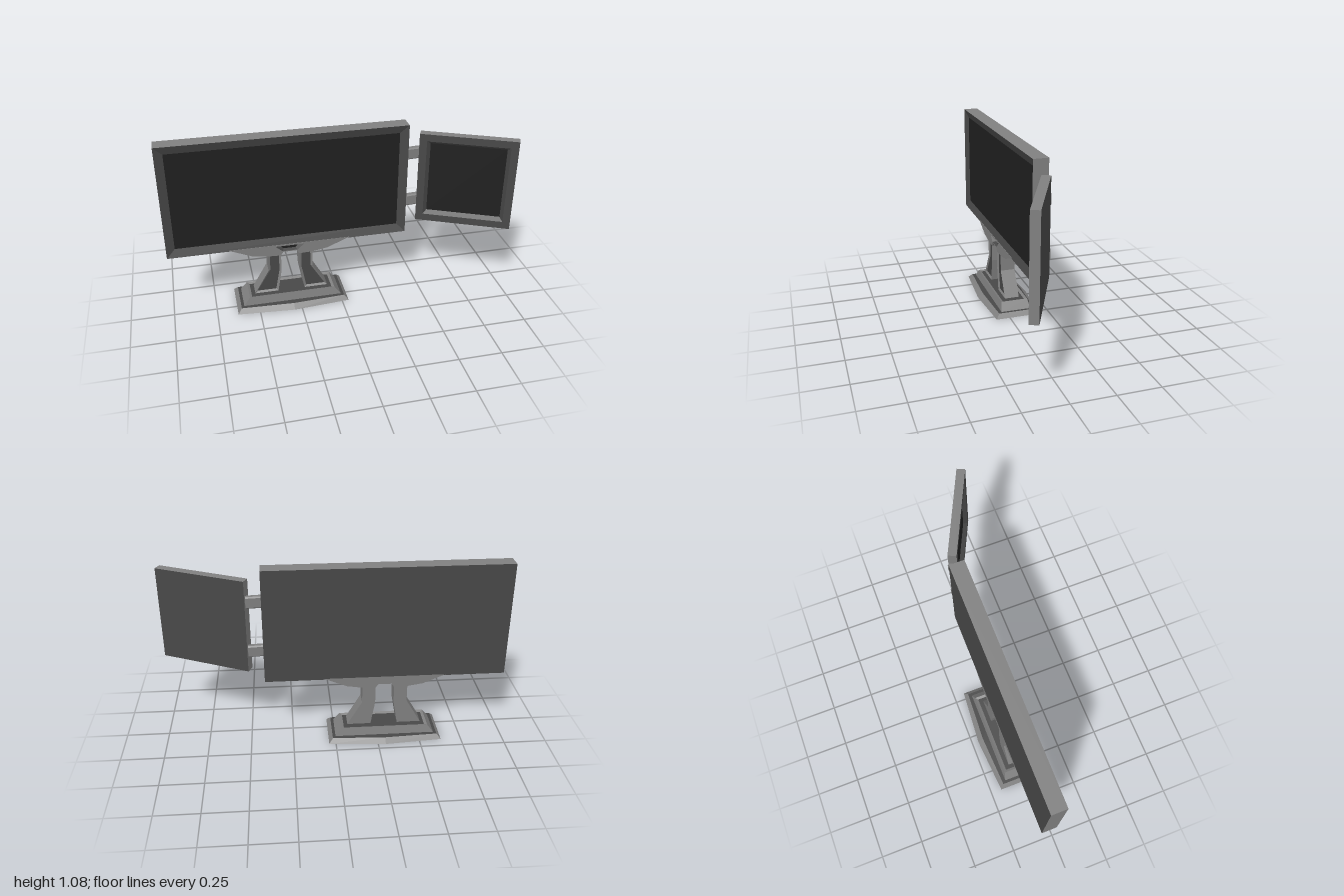
import * as THREE from 'three';

const material = (color) => new THREE.MeshStandardMaterial({ color, flatShading: true });
const body = material(0x808080);
const dark = material(0x484848);
const black = material(0x202020);

const STAND_X = -0.295;
const BACK = -0.093, FRONT = -0.004;

function addMesh(parent, name, geometry, mat) {
  const mesh = new THREE.Mesh(geometry, mat);
  mesh.name = name;
  parent.add(mesh);
  return mesh;
}

const toShape = (pts) => new THREE.Shape(pts.map(([x, y]) => new THREE.Vector2(x, y)));

// Counter-clockwise rectangle outline
const rect = (w, h) => [[-w, -h], [w, -h], [w, h], [-w, h]].map(([x, y]) => [x / 2, y / 2]);

// Band of quads between two counter-clockwise outlines at heights z0 and z1
function band(a, z0, b, z1) {
  const pos = [];
  a.forEach((p, i) => {
    const j = (i + 1) % a.length;
    const p0 = [...p, z0], q0 = [...a[j], z0], q1 = [...b[j], z1], p1 = [...b[i], z1];
    pos.push(...p0, ...q0, ...q1, ...p0, ...q1, ...p1);
  });
  const g = new THREE.BufferGeometry();
  g.setAttribute('position', new THREE.Float32BufferAttribute(pos, 3));
  g.computeVertexNormals();
  return g;
}

// Flat face over an outline, facing +z or -z
function cap(pts, z, flip = false) {
  const g = new THREE.ShapeGeometry(toShape(pts));
  if (flip) {
    const idx = g.index.array;
    for (let i = 0; i < idx.length; i += 3) [idx[i], idx[i + 1]] = [idx[i + 1], idx[i]];
    g.computeVertexNormals();
  }
  return g.translate(0, 0, z);
}

// Screen housing: flat rim, bevel sloping back, recessed display
function screenPanel(name, w, h, depth, rim, bevel, recess) {
  const g = new THREE.Group();
  g.name = name;
  const z = depth / 2;
  const outer = rect(w, h);
  const lip = rect(w - 2 * rim, h - 2 * rim);
  const display = rect(w - 2 * (rim + bevel), h - 2 * (rim + bevel));
  addMesh(g, 'housingSides', band(outer, -z, outer, z), body);
  addMesh(g, 'backPanel', cap(outer, -z, true), dark);
  if (rim > 0) addMesh(g, 'frameRim', band(outer, z, lip, z), dark);
  addMesh(g, 'frameBevel', band(lip, z, display, z - recess), dark);
  addMesh(g, 'display', cap(display, z - recess), black);
  return g;
}

// Bent leg with a recessed front panel; side is -1 or 1
function standLeg(side) {
  const g = new THREE.Group();
  g.name = side < 0 ? 'rightLeg' : 'leftLeg';
  const outline = (m) => {
    const pts = [
      [0.08 + m, 0.075 + m], [0.22 - 1.3 * m, 0.075 + m], [0.133 - m, 0.225],
      [0.133 - m, 0.33], [0.055 + m, 0.33], [0.055 + m, 0.22],
    ].map(([x, y]) => [side * x, y]);
    return side < 0 ? pts.reverse() : pts;
  };
  const outer = outline(0), inner = outline(0.012);
  addMesh(g, 'legSides', band(outer, BACK, outer, FRONT), body);
  addMesh(g, 'legBack', cap(outer, BACK, true), body);
  addMesh(g, 'legRim', band(outer, FRONT, inner, FRONT - 0.008), body);
  addMesh(g, 'legInset', cap(inner, FRONT - 0.008), dark);
  g.position.x = STAND_X;
  return g;
}

// Shallow bowl-shaped bracket under the screen with a sunken centre notch
function bracket() {
  const g = new THREE.Group();
  g.name = 'screenBracket';
  const half = [[0.04, 0.345], [0.055, 0.322], [0.13, 0.325], [0.225, 0.34], [0.355, 0.395]];
  const outline = [...half, ...half.map(([x, y]) => [-x, y]).reverse()];
  const notch = [[-0.045, 0.35], [0.045, 0.35], [0.085, 0.385], [-0.085, 0.385]];
  const floor = [[-0.035, 0.357], [0.035, 0.357], [0.06, 0.379], [-0.06, 0.379]];
  const depth = 0.025;
  const front = toShape(outline);
  front.holes.push(new THREE.Path(notch.map(([x, y]) => new THREE.Vector2(x, y))));
  addMesh(g, 'bracketBack', new THREE.ExtrudeGeometry(toShape(outline),
    { depth: FRONT - depth - BACK, bevelEnabled: false }).translate(0, 0, BACK), body);
  addMesh(g, 'bracketFront', new THREE.ExtrudeGeometry(front,
    { depth, bevelEnabled: false }).translate(0, 0, FRONT - depth), body);
  addMesh(g, 'notchBevel', band(notch, FRONT, floor, FRONT - 0.02), dark);
  addMesh(g, 'notchFloor', cap(floor, FRONT - 0.02), black);
  g.position.x = STAND_X;
  return g;
}

// Two-step foot, drawn flat and laid down so that its height points up
function foot() {
  const g = new THREE.Group();
  g.name = 'foot';
  const hexagon = (x, end, mid) => [[-x, -end], [0, -mid], [x, -end], [x, end], [0, mid], [-x, end]];
  const low = hexagon(0.335, 0.134, 0.16), ledge = hexagon(0.312, 0.112, 0.128);
  const blockLow = rect(0.59, 0.185), blockTop = rect(0.515, 0.165);
  const topInset = rect(0.485, 0.135);
  addMesh(g, 'footUnderside', cap(low, 0, true), dark);
  addMesh(g, 'footSkirt', band(low, 0, ledge, 0.026), body);
  addMesh(g, 'footLedge', cap(ledge, 0.026), dark);
  addMesh(g, 'footBlock', band(blockLow, 0.026, blockTop, 0.075), body);
  addMesh(g, 'footTopBevel', band(blockTop, 0.075, topInset, 0.068), body);
  addMesh(g, 'footTop', cap(topInset, 0.068), dark);
  g.rotation.x = -Math.PI / 2;
  g.position.set(STAND_X, 0, -0.051);
  return g;
}

// Chamfered hinge bar running along x
function hingeBar(y) {
  const h = 0.035, d = 0.018, c = 0.007;
  const section = [[-d + c, -h], [d - c, -h], [d, -h + c], [d, h - c],
    [d - c, h], [-d + c, h], [-d, h - c], [-d, -h + c]];
  const geometry = new THREE.ExtrudeGeometry(toShape(section), { depth: 0.095, bevelEnabled: false });
  geometry.translate(0, 0, -0.0475).rotateY(Math.PI / 2);
  const bar = new THREE.Mesh(geometry, body);
  bar.name = 'hingeBar';
  bar.position.set(0.445, y, -0.055);
  bar.rotation.y = 0.09;
  return bar;
}

export function createModel() {
  const model = new THREE.Group();
  model.name = 'doubleMonitor';

  const main = screenPanel('mainScreen', 1.405, 0.685, FRONT - BACK, 0, 0.049, 0.018);
  main.position.set(-0.2975, 0.7325, (FRONT + BACK) / 2);

  // Side screen turned inward toward the viewer
  const side = screenPanel('sideScreen', 0.556, 0.556, 0.05, 0.043, 0.019, 0.025);
  side.position.set(0.737, 0.73, 0.07);
  side.rotation.y = -0.44;

  model.add(main, side, hingeBar(0.882), hingeBar(0.58), bracket(), foot());
  for (const s of [-1, 1]) model.add(standLeg(s));
  return model;
}
